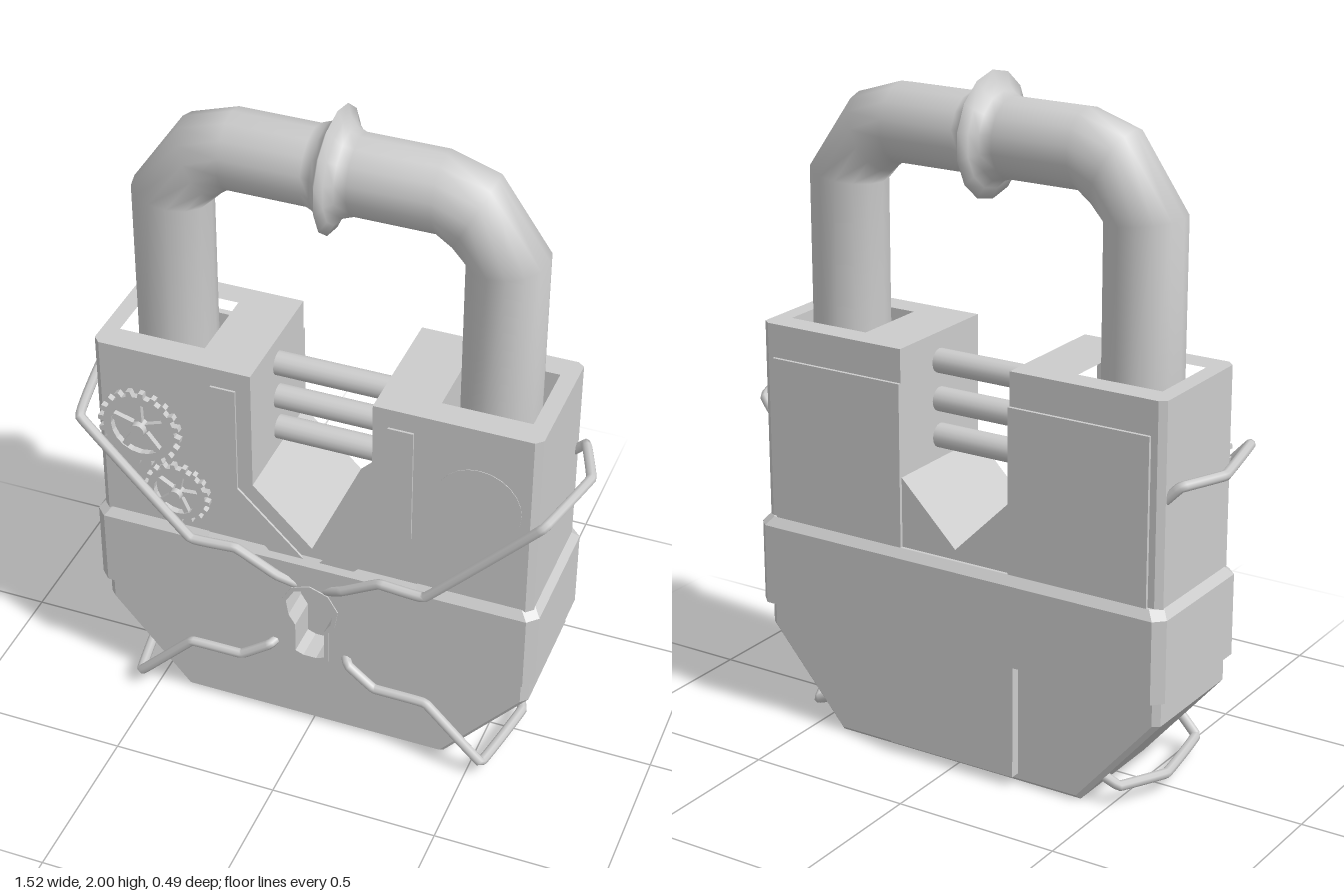
import * as THREE from 'three';
import { toCreasedNormals } from 'three/addons/utils/BufferGeometryUtils.js';

const grey = new THREE.MeshStandardMaterial({ color: 0xcccccc });
const V2 = (list) => list.map(([x, y]) => new THREE.Vector2(x, y));

// Solid from matching counter-clockwise outlines stacked along z, with an optional hole in the last cap
function stack(rings, hole) {
  const pos = [];
  const put = (p, z) => pos.push(p[0], p[1], z);
  for (let k = 0; k < rings.length - 1; k++) {
    const [A, za] = rings[k], [B, zb] = rings[k + 1];
    for (let i = 0; i < A.length; i++) {
      const j = (i + 1) % A.length;
      put(A[i], za); put(A[j], za); put(B[j], zb);
      put(A[i], za); put(B[j], zb); put(B[i], zb);
    }
  }
  const cap = ([P, z], holes, flip) => {
    const all = P.concat(...holes);
    for (const f of THREE.ShapeUtils.triangulateShape(V2(P), holes.map(V2))) {
      for (const i of flip ? [f[2], f[1], f[0]] : f) put(all[i], z);
    }
  };
  cap(rings[0], [], true);
  cap(rings[rings.length - 1], hole ? [hole] : [], false);
  const g = new THREE.BufferGeometry();
  g.setAttribute('position', new THREE.Float32BufferAttribute(pos, 3));
  return toCreasedNormals(g, 0.4);
}

// Flat plate: outline with holes, from z0 to z1
function plate(outline, holes, z0, z1) {
  const s = new THREE.Shape(V2(outline));
  holes.forEach((h) => s.holes.push(new THREE.Path(V2(h))));
  return new THREE.ExtrudeGeometry(s, { depth: z1 - z0, bevelEnabled: false }).translate(0, 0, z0);
}

const circle = (r, n, cx = 0, cy = 0) => Array.from({ length: n }, (_, i) => {
  const a = (i / n) * Math.PI * 2;
  return [cx + r * Math.cos(a), cy + r * Math.sin(a)];
});

// Keyhole outline, grown by g
function keyhole(g) {
  const pts = [[-0.045 - g, 0.285 - g], [-0.02, 0.275 - g], [0.02, 0.275 - g], [0.045 + g, 0.285 - g], [0.045 + g, 0.385]];
  for (let i = 0; i <= 6; i++) {
    const a = -0.5 + (i / 6) * (Math.PI + 1);
    pts.push([(0.075 + g) * Math.cos(a), 0.455 + (0.075 + g) * Math.sin(a)]);
  }
  pts.push([-0.045 - g, 0.385]);
  return pts;
}

// Case outline with its outer edge inset by c
function caseOutline(c) {
  const w = 0.66 - c, b = 0.41 - c * 0.4;
  return [[-b, c * 0.7], [b, c * 0.7], [w, 0.29], [w, 1.05], [0.18, 1.05], [0.18, 0.85], [0, 0.67],
    [-0.18, 0.85], [-0.18, 1.05], [-w, 1.05], [-w, 0.29]];
}

// Band plan (x, -z) with chamfered corners and an opening for the lock plate
function bandPlan(c) {
  const w = 0.68 - c, f = -0.2 + c, b = 0.245 - c, k = 0.03;
  return [[-w + k, f], [-0.32, f], [-0.32, 0], [0.32, 0], [0.32, f], [w - k, f], [w, f + k],
    [w, b - k], [w - k, b], [-w + k, b], [-w, b - k], [-w, f + k]];
}

// Shackle swept through rings given as outer point, inner point and depth radius
function shackleGeometry() {
  const half = [[0.598, 1.06, 0.368, 1.06], [0.598, 1.67, 0.368, 1.64], [0.445, 1.89, 0.335, 1.675], [0.3, 1.936, 0.3, 1.706], [0.065, 1.936, 0.065, 1.706]]
    .map((r) => [...r, 0.111]);
  for (const [x, r] of [[0.035, 0.125], [0.014, 0.147]]) half.push([x, 1.821 + r, x, 1.821 - r, r]);
  const rings = [...half.map(([a, b, c, d, r]) => [-a, b, -c, d, r]), [0, 2, 0, 1.642, 0.179], ...half.reverse()];
  const n = 14, pos = [], idx = [];
  rings.forEach(([ox, oy, ix, iy, r], k) => {
    for (let i = 0; i < n; i++) {
      const a = (i / n) * Math.PI * 2, c = Math.cos(a) / 2;
      pos.push((ox + ix) / 2 + (ox - ix) * c, (oy + iy) / 2 + (oy - iy) * c, -0.02 + r * Math.sin(a));
      if (k === rings.length - 1) continue;
      const j = (i + 1) % n, p = k * n, q = p + n;
      idx.push(p + i, p + j, q + j, p + i, q + j, q + i);
    }
  });
  const g = new THREE.BufferGeometry();
  g.setAttribute('position', new THREE.Float32BufferAttribute(pos, 3));
  g.setIndex(idx);
  g.computeVertexNormals();
  return g;
}

function makeGear(r, teeth, spin) {
  const gear = new THREE.Group();
  const rim = [];
  for (let i = 0; i < teeth; i++) {
    [[0, 0.87], [0.45, 0.87], [0.55, 1], [0.9, 1]].forEach(([t, k]) => {
      const a = ((i + t) / teeth) * Math.PI * 2;
      rim.push([r * k * Math.cos(a), r * k * Math.sin(a)]);
    });
  }
  const add = (g, name) => {
    const m = new THREE.Mesh(g, grey);
    m.name = name;
    gear.add(m);
    return m;
  };
  add(plate(rim, [circle(r * 0.68, 20)], 0.175, 0.2), 'gearRim');
  for (let i = 0; i < 5; i++) {
    const a = spin + (i / 5) * Math.PI * 2;
    const s = add(new THREE.BoxGeometry(r * 0.75, r * 0.16, 0.018), 'gearSpoke');
    s.position.set(r * 0.37 * Math.cos(a), r * 0.37 * Math.sin(a), 0.187);
    s.rotation.z = a;
  }
  add(new THREE.CylinderGeometry(r * 0.17, r * 0.22, 0.04, 12).rotateX(Math.PI / 2).translate(0, 0, 0.193), 'gearHub');
  return gear;
}

export function createModel() {
  const model = new THREE.Group();
  const add = (g, name) => {
    const m = new THREE.Mesh(g, grey);
    m.name = name;
    model.add(m);
    return m;
  };

  // Case with the keyhole cut into its front
  add(stack([[caseOutline(0.02), -0.215], [caseOutline(0), -0.2], [caseOutline(0), 0.16], [caseOutline(0.02), 0.18]], keyhole(0.004)), 'case');

  // Band around the case, lock plate, back tab
  add(stack([[bandPlan(0), 0.37], [bandPlan(0), 0.615], [bandPlan(0.02), 0.64]]).rotateX(-Math.PI / 2), 'band');
  const lock = plate([[-0.32, 0.37], [0, 0.21], [0.32, 0.37], [0.32, 0.64], [-0.32, 0.64]], [keyhole(0.004)], 0.178, 0.2);
  const lp = lock.attributes.position;
  for (let i = 0; i < lp.count; i++) if (lp.getY(i) > 0.63 && lp.getZ(i) > 0.19) lp.setY(i, 0.615);
  lock.computeVertexNormals();
  add(lock, 'lockPlate');
  add(new THREE.BoxGeometry(0.42, 0.36, 0.035).translate(0, 0.21, -0.2275), 'backTab');

  // Keyhole rim and floor
  add(plate(keyhole(0.014), [keyhole(0)], 0.1, 0.204), 'keyholeRim');
  add(new THREE.ShapeGeometry(new THREE.Shape(V2(keyhole(0.005)))).translate(0, 0, 0.105), 'keyholeFloor');

  // Raised border around the front notch
  add(plate([[-0.3, 1.17], [-0.3, 0.8], [0, 0.5], [0.3, 0.8], [0.3, 1.17], [0.225, 1.17], [0.225, 0.83], [0, 0.605], [-0.225, 0.83], [-0.225, 1.17]],
    [], 0.175, 0.187), 'notchBorder');

  // Shackle and the bars across the notch
  add(shackleGeometry(), 'shackle');
  for (const y of [0.92, 1.03, 1.145]) {
    add(new THREE.CylinderGeometry(0.036, 0.036, 0.4, 16).rotateZ(Math.PI / 2).translate(0, y, -0.02), 'notchBar');
  }

  for (const s of [-1, 1]) {
    const side = (list) => list.map(([x, ...rest]) => [s * x, ...rest]);
    // Towers with square sockets for the shackle
    const plan = side([[0.18, -0.18], [0.64, -0.18], [0.66, -0.16], [0.66, 0.2], [0.64, 0.215], [0.18, 0.215]]);
    const socket = side([[0.35, -0.1], [0.61, -0.1], [0.61, 0.14], [0.35, 0.14]]);
    add(plate(plan, [socket], 1.05, 1.23).rotateX(-Math.PI / 2), 'tower');
    add(new THREE.BoxGeometry(0.44, 0.53, 0.02).translate(s * 0.4, 0.865, -0.215), 'backPanel');

    // Bent wires wrapping from the front round the sides
    const wires = {
      upperWire: [[0.05, 0.535, 0.19], [0.1, 0.565, 0.21], [0.22, 0.64, 0.222], [0.36, 0.64, 0.228], [0.69, 0.987, 0.225], [0.747, 0.987, -0.03], [0.69, 0.987, -0.175], [0.65, 0.945, -0.185]],
      lowerWire: [[0.11, 0.3, 0.19], [0.125, 0.29, 0.215], [0.21, 0.235, 0.225], [0.37, 0.235, 0.228], [0.545, 0.057, 0.225], [0.59, 0.057, -0.03], [0.52, 0.06, -0.175], [0.46, 0.09, -0.185]],
    };
    for (const [name, pts] of Object.entries(wires)) {
      const curve = new THREE.CatmullRomCurve3(side(pts).map((p) => new THREE.Vector3(...p)), false, 'catmullrom', 0.06);
      add(new THREE.TubeGeometry(curve, 90, 0.015, 8), name);
      for (const p of [pts[0], pts[pts.length - 1]]) {
        add(new THREE.SphereGeometry(0.015, 8, 6).translate(s * p[0], p[1], p[2]), name + 'End');
      }
    }
  }

  // Gears on one side, a faint disc on the other
  for (const [x, y, r, teeth, spin] of [[-0.52, 0.97, 0.127, 20, 0.35], [-0.412, 0.765, 0.103, 18, 0.1]]) {
    const gear = makeGear(r, teeth, spin);
    gear.name = 'gear';
    gear.position.set(x, y, 0);
    model.add(gear);
  }
  add(plate(circle(0.125, 24, 0.49, 0.97), [], 0.17, 0.182), 'frontDisc');

  return model;
}
